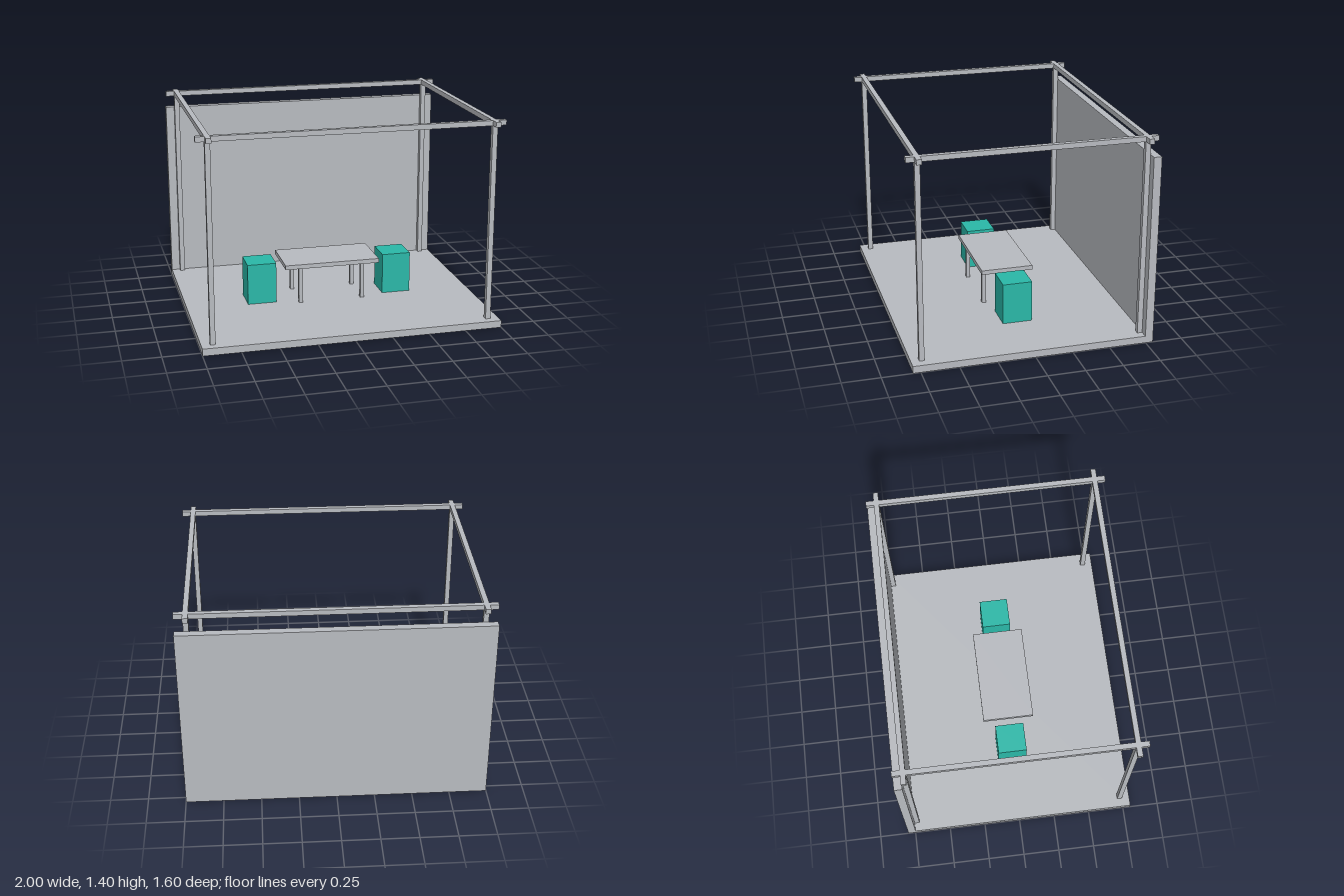
import * as THREE from 'three';

export function createModel() {
  const model = new THREE.Group();
  model.name = 'exhibitionBooth';

  const grey = new THREE.MeshStandardMaterial({ color: 0xb8bbc0 });
  grey.name = 'light grey';
  const teal = new THREE.MeshStandardMaterial({ color: 0x2ab8a8 });
  teal.name = 'teal';

  // Box given by its lower and upper limits on each axis
  function box(name, material, [x0, x1], [y0, y1], [z0, z1], parent = model) {
    const mesh = new THREE.Mesh(new THREE.BoxGeometry(x1 - x0, y1 - y0, z1 - z0), material);
    mesh.position.set((x0 + x1) / 2, (y0 + y1) / 2, (z0 + z1) / 2);
    mesh.name = name;
    parent.add(mesh);
  }
  const around = (centre, size) => [centre - size / 2, centre + size / 2];

  const floorTop = 0.048, wallFront = -0.747;
  box('floor', grey, [-1, 1], [0, floorTop], [wallFront, 0.8]);
  box('backWall', grey, [-1, 1], [0, 1.28], [-0.8, wallFront]);

  // Open frame: four posts, with beams crossing above them
  const frame = new THREE.Group();
  frame.name = 'frame';
  model.add(frame);
  const bar = 0.034, postX = 0.925, postZ = 0.73, frameTop = 1.4;
  const beamY = [frameTop - bar, frameTop];
  for (const s of [-1, 1]) {
    box('longBeam', grey, [-1, 1], beamY, around(s * postZ, bar), frame);
    box('sideBeam', grey, around(s * postX, bar), beamY, [-0.8, 0.8], frame);
    for (const t of [-1, 1]) {
      box('post', grey, around(s * postX, bar), [floorTop, beamY[0]], around(t * postZ, bar), frame);
    }
  }

  // Table
  const table = new THREE.Group();
  table.name = 'table';
  model.add(table);
  box('tableTop', grey, [-0.33, 0.33], [0.303, 0.333], [-0.178, 0.178], table);
  for (const s of [-1, 1]) {
    for (const t of [-1, 1]) {
      box('tableLeg', grey, around(s * 0.219, 0.027), [floorTop, 0.303], around(t * 0.139, 0.027), table);
    }
  }

  // Cube stools at either end of the table
  for (const s of [-1, 1]) {
    box(s > 0 ? 'leftStool' : 'rightStool', teal, around(s * 0.48, 0.2), [floorTop, 0.331], [-0.1, 0.1]);
  }

  return model;
}
